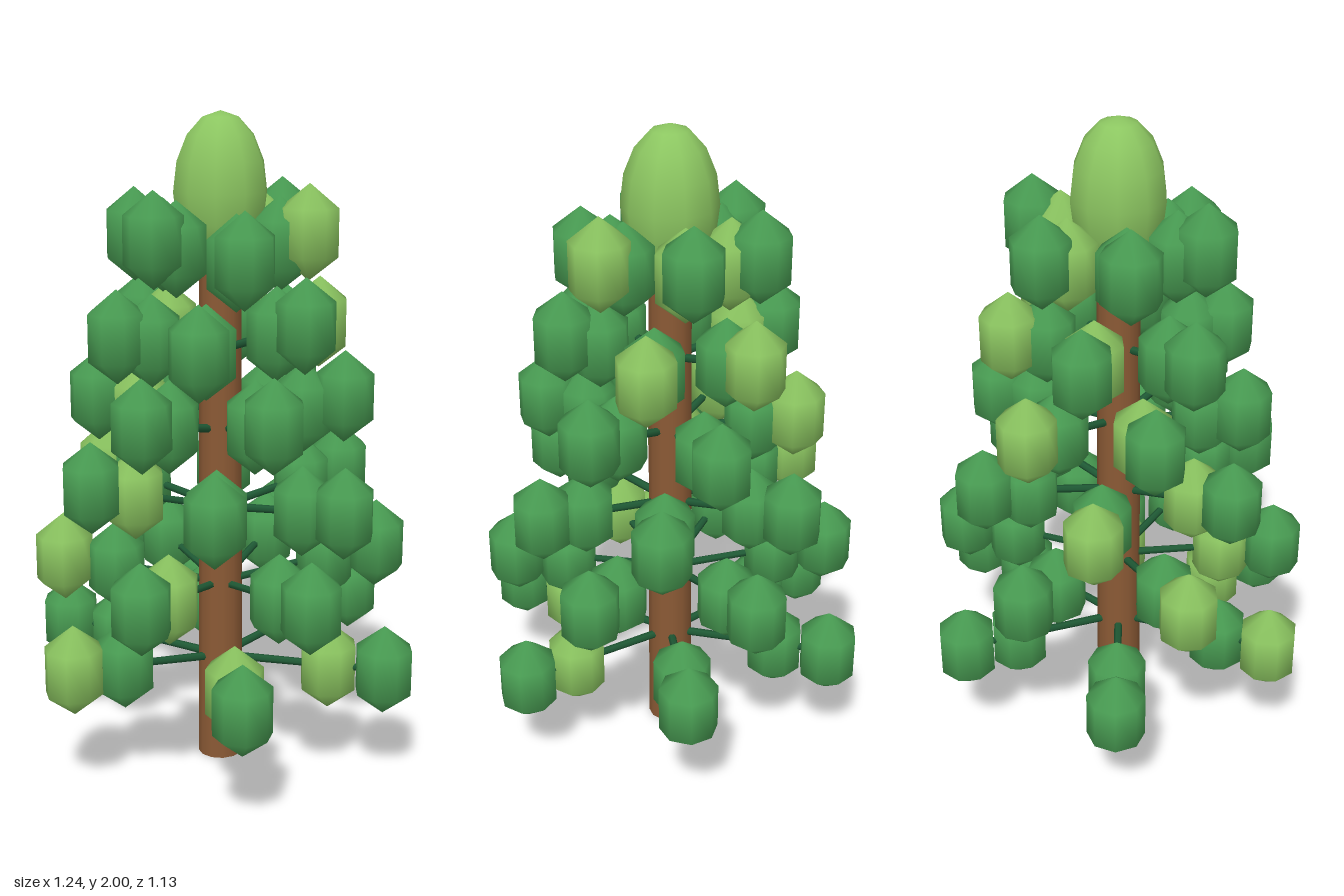
import * as THREE from 'three';

// Tip heights of the six branches in each tier, lowest tier first
const TIERS = [
  { tips: [0.365, 0.38, 0.41, 0.365, 0.4, 0.43], lightTips: [2], lightInner: [0, 1] },
  { tips: [0.635, 0.64, 0.66, 0.66, 0.67, 0.69], lightTips: [2], lightInner: [1] },
  { tips: [0.9, 0.93, 0.89, 0.9, 0.89, 0.86], lightTips: [2], lightInner: [1] },
  { tips: [1.14, 1.155, 1.14, 1.12, 1.17, 1.15], lightTips: [2], lightInner: [1] },
  { tips: [1.36, 1.37, 1.37, 1.37, 1.41, 1.35], lightTips: [2, 3], lightInner: [1] },
  { tips: [1.64, 1.64, 1.66, 1.66, 1.6, 1.65], lightTips: [3], lightInner: [1, 2] },
];

export function createModel() {
  const tree = new THREE.Group();
  tree.name = 'tree';

  const bark = new THREE.MeshStandardMaterial({ color: 0x8b5a35 });
  const twig = new THREE.MeshStandardMaterial({ color: 0x1f5a35 });
  const darkLeaf = new THREE.MeshStandardMaterial({ color: 0x4a9f54 });
  const lightLeaf = new THREE.MeshStandardMaterial({ color: 0x8cc661 });

  const add = (parent, name, geometry, material) => {
    const mesh = new THREE.Mesh(geometry, material);
    mesh.name = name;
    parent.add(mesh);
    return mesh;
  };

  // Trunk
  add(tree, 'trunk', new THREE.CylinderGeometry(0.062, 0.07, 1.7, 12), bark).position.y = 0.85;

  // Crown: egg-shaped top
  const crown = add(tree, 'crown', new THREE.SphereGeometry(0.14, 10, 8), lightLeaf);
  crown.scale.y = 1.64;
  crown.position.y = 1.77;

  // Faceted leaf cluster and unit-length branch shared by all tiers
  const leafGeometry = new THREE.SphereGeometry(0.1, 8, 3).scale(1, 1.4, 1);
  const branchGeometry = new THREE.CylinderGeometry(0.01, 0.013, 1, 6).translate(0, 0.5, 0);
  const up = new THREE.Vector3(0, 1, 0);

  TIERS.forEach(({ tips, lightTips, lightInner }, t) => {
    const tier = new THREE.Group();
    tier.name = `branchTier${t + 1}`;
    tree.add(tier);
    const radius = 0.535 - t * 0.054;
    const rootY = 0.325 + t * 0.245;

    tips.forEach((tipY, i) => {
      // Each tier is turned a little from the one below
      const angle = t * 0.6 + (i * Math.PI) / 3;
      const root = new THREE.Vector3(0, rootY, 0);
      const tip = new THREE.Vector3(Math.cos(angle) * radius, tipY, Math.sin(angle) * radius);
      const along = tip.clone().sub(root);

      const branch = add(tier, 'branch', branchGeometry, twig);
      branch.position.copy(root);
      branch.scale.y = along.length();
      branch.quaternion.setFromUnitVectors(up, along.clone().normalize());

      // One leaf cluster at the tip, one two thirds of the way out
      const outer = add(tier, 'outerLeaves', leafGeometry, lightTips.includes(i) ? lightLeaf : darkLeaf);
      outer.position.copy(tip);
      outer.rotation.y = -angle;
      const inner = add(tier, 'innerLeaves', leafGeometry, lightInner.includes(i) ? lightLeaf : darkLeaf);
      inner.position.copy(root).addScaledVector(along, 0.67);
      inner.rotation.y = -angle;
    });
  });

  return tree;
}
